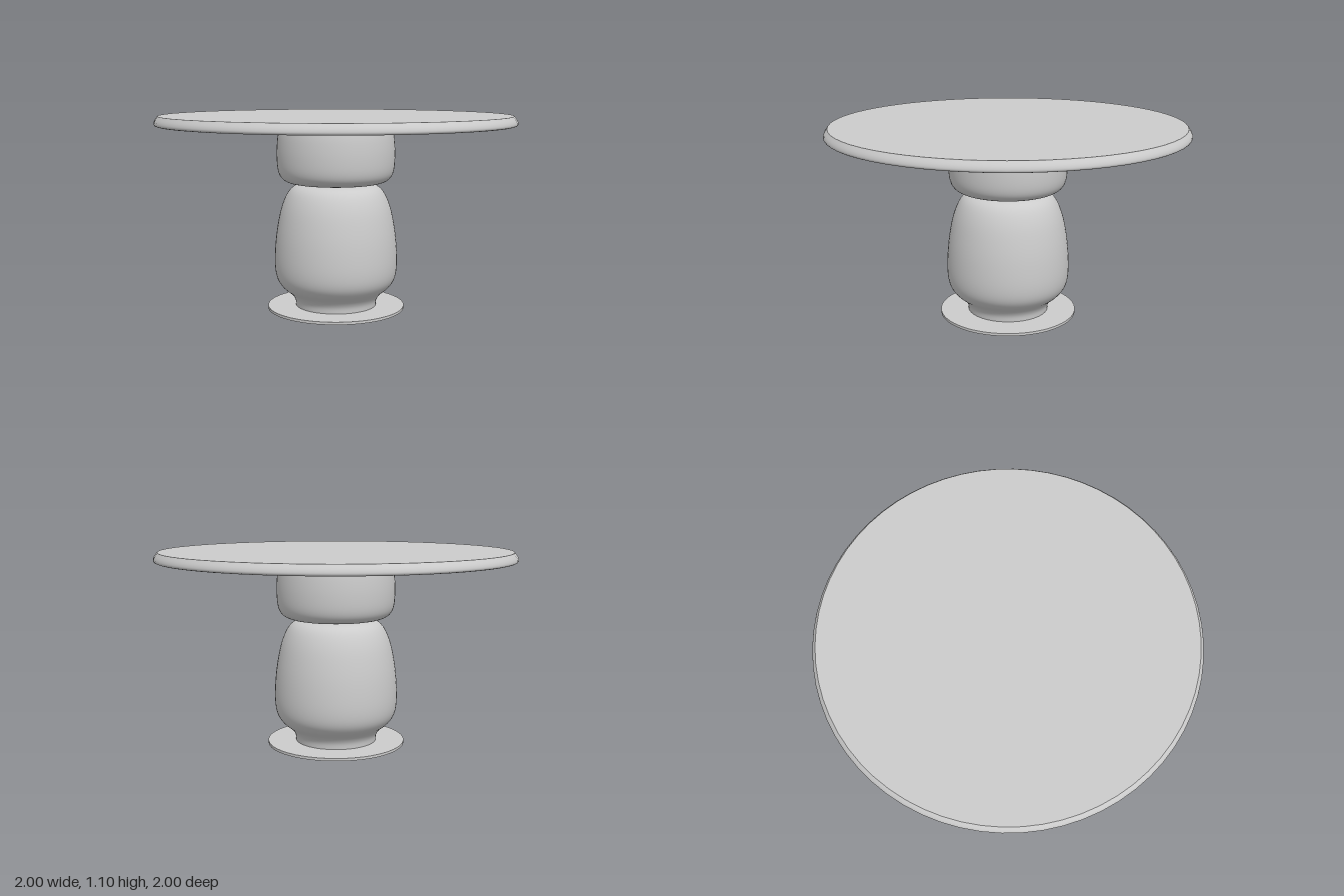
import * as THREE from 'three';
import { mergeGeometries } from 'three/addons/utils/BufferGeometryUtils.js';

const material = new THREE.MeshStandardMaterial({ color: 0xcccccc });
const toPoints = (pairs) => pairs.map(([r, y]) => new THREE.Vector2(r, y));

// Smooth curve through a few [radius, height] pairs
const smooth = (pairs, n) => new THREE.SplineCurve(toPoints(pairs)).getPoints(n);

// Turned part: each run of the profile is smooth, with a sharp edge between runs
function turned(name, runs, segments = 64) {
  const parts = runs.map((run) => new THREE.LatheGeometry(run, segments));
  const mesh = new THREE.Mesh(mergeGeometries(parts), material);
  mesh.name = name;
  return mesh;
}

function disc(name, radius, y0, y1) {
  const mesh = new THREE.Mesh(new THREE.CylinderGeometry(radius, radius, y1 - y0, 64), material);
  mesh.position.y = (y0 + y1) / 2;
  mesh.name = name;
  return mesh;
}

export function createModel() {
  const group = new THREE.Group();
  group.name = 'roundTable';

  // Thin floor plate and the plate that carries the top
  group.add(disc('basePlate', 0.39, 0, 0.015));
  group.add(disc('mountingPlate', 0.443, 1.035, 1.047));

  // Tall lower swelling with a narrow foot
  group.add(turned('lowerPedestal', [
    smooth([
      [0.23, 0.015], [0.235, 0.05], [0.258, 0.085], [0.305, 0.125], [0.337, 0.175],
      [0.349, 0.25], [0.346, 0.36], [0.333, 0.47], [0.309, 0.58], [0.275, 0.66],
      [0.235, 0.7], [0.18, 0.715],
    ], 48),
    toPoints([[0.18, 0.715], [0, 0.715]]),
  ]));

  // Shorter upper swelling
  group.add(turned('upperPedestal', [
    toPoints([[0, 0.715], [0.2, 0.715]]),
    smooth([
      [0.2, 0.715], [0.265, 0.723], [0.307, 0.748], [0.328, 0.795], [0.334, 0.88],
      [0.329, 0.97], [0.317, 1.036],
    ], 32),
  ]));

  // Round top with a sloping edge that is rounded underneath
  group.add(turned('tableTop', [
    toPoints([[0, 1.046], [0.985, 1.046]]),
    smooth([[0.985, 1.046], [0.996, 1.05], [1, 1.06], [0.994, 1.078], [0.978, 1.1]], 12),
    toPoints([[0.978, 1.1], [0, 1.1]]),
  ]));

  return group;
}
